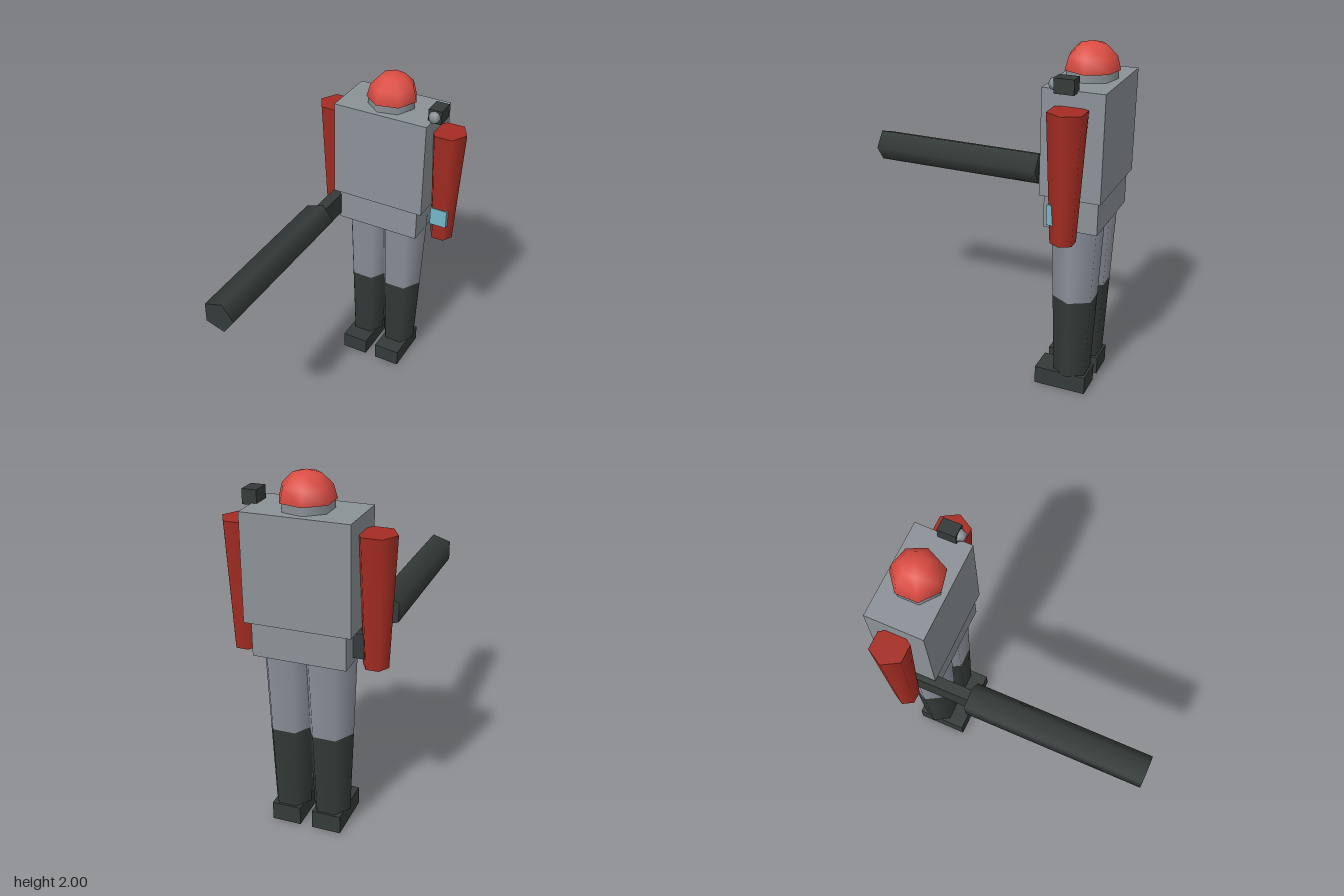
import * as THREE from 'three';

const paint = (name, color) => {
  const m = new THREE.MeshStandardMaterial({ color });
  m.name = name;
  return m;
};

export function createModel() {
  const model = new THREE.Group();
  const grey = paint('armour grey', 0x8b9297);
  const cloth = paint('trouser grey', 0x8c919b);
  const dark = paint('dark rubber', 0x343b39);
  const red = paint('sleeve red', 0xa52d23);
  const bright = paint('helmet red', 0xdb4d43);
  const blue = paint('screen blue', 0x76b6c9);
  const Z = -0.63; // depth of the body's centre line

  const add = (name, geometry, material, x = 0, y = 0, z = 0) => {
    const mesh = new THREE.Mesh(geometry, material);
    mesh.name = name;
    mesh.position.set(x, y, z);
    model.add(mesh);
    return mesh;
  };
  // box given by its limits on each axis
  const box = (name, material, x0, x1, y0, y1, z0, z1) =>
    add(name, new THREE.BoxGeometry(x1 - x0, y1 - y0, z1 - z0), material,
      (x0 + x1) / 2, (y0 + y1) / 2, (z0 + z1) / 2);
  // upright tapered prism with one corner towards +x
  const prism = (name, material, sides, rTop, rBottom, x, y0, y1) =>
    add(name, new THREE.CylinderGeometry(rTop, rBottom, y1 - y0, sides, 1, false, Math.PI / 2),
      material, x, (y0 + y1) / 2, Z);

  // body
  box('torso', grey, -0.29, 0.29, 1.22, 1.805, -0.8, -0.463);
  box('pelvis', grey, -0.257, 0.257, 1.03, 1.22, -0.78, -0.48);

  // head
  prism('neck', grey, 7, 0.14, 0.14, 0, 1.78, 1.85);
  add('helmet', new THREE.SphereGeometry(0.15, 7, 3, Math.PI, Math.PI * 2, 0, Math.PI / 2),
    bright, 0, 1.85, Z);
  add('helmetBase', new THREE.CircleGeometry(0.15, 7).rotateX(Math.PI / 2), bright, 0, 1.85, Z);

  // limbs
  for (const [side, s] of [['left', 1], ['right', -1]]) {
    prism(side + 'Arm', red, 6, 0.107, 0.07, s * 0.363, 1.01, 1.72);
    prism(side + 'Thigh', cloth, 6, 0.15, 0.128, s * 0.115, 0.585, 1.11);
    prism(side + 'Boot', dark, 6, 0.128, 0.107, s * 0.115, 0.1, 0.585);
    box(side + 'Foot', dark, s * 0.1175 - 0.0825, s * 0.1175 + 0.0825, 0, 0.105, -0.735, -0.433);
  }

  // wrist screen
  box('wristScreen', blue, 0.312, 0.415, 1.117, 1.23, -0.59, -0.555);

  // shoulder lamp
  box('lampHousing', dark, 0.262, 0.342, 1.795, 1.875, -0.653, -0.545);
  add('lampLens', new THREE.SphereGeometry(0.037, 6, 4), grey, 0.302, 1.835, -0.54);

  // hand-held launcher
  box('launcherStock', dark, -0.315, -0.25, 1.06, 1.197, -0.68, -0.25);
  add('launcherBarrel',
    new THREE.CylinderGeometry(0.097, 0.097, 1.055, 5, 1, false, Math.PI / 2).rotateX(Math.PI / 2),
    dark, -0.282, 1.149, 0.2725);

  return model;
}
